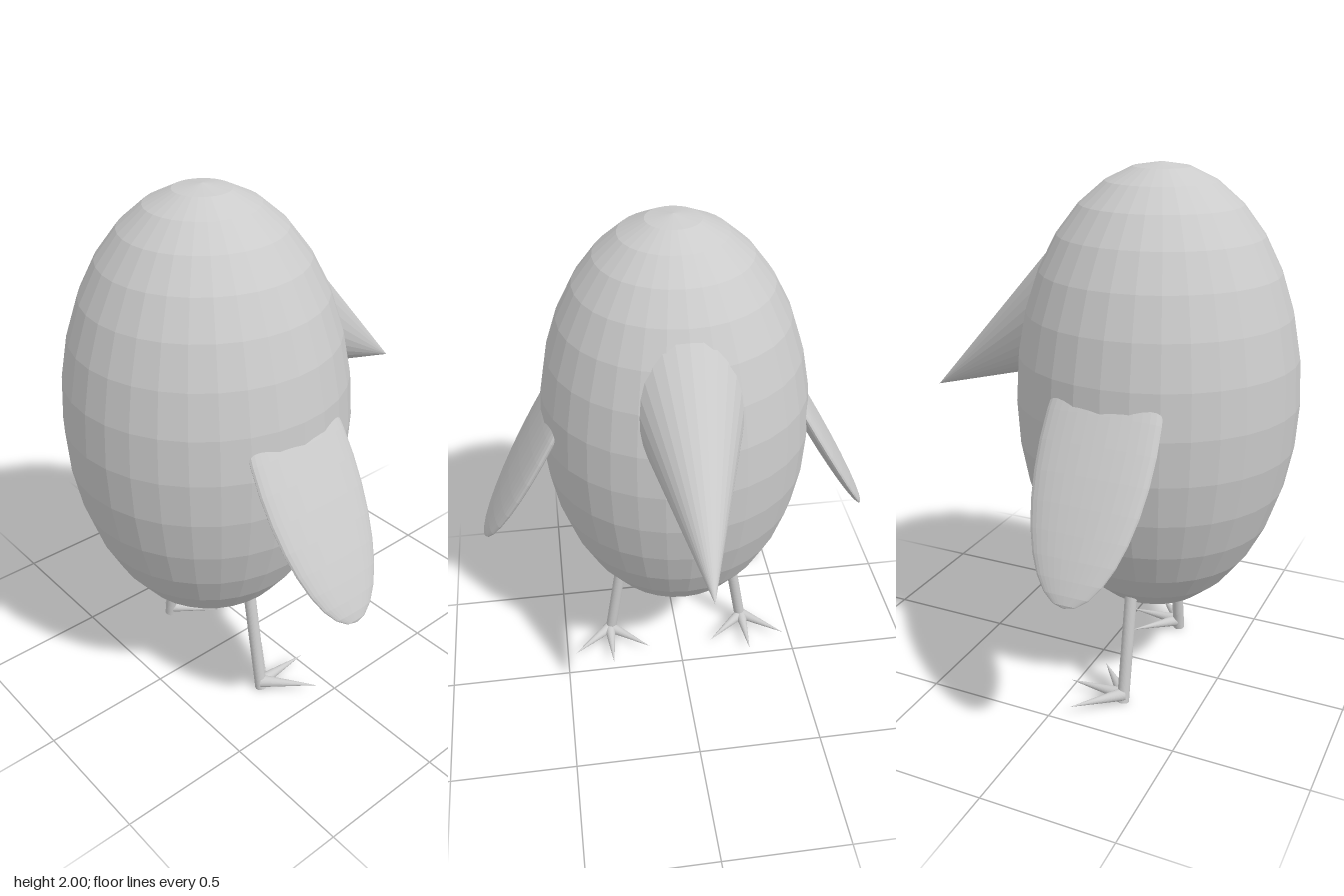
import * as THREE from 'three';

const material = new THREE.MeshStandardMaterial({ color: 0xcccccc, flatShading: true });
const UP = new THREE.Vector3(0, 1, 0);
const CENTRE_X = -0.22;

function addMesh(parent, name, geometry) {
  const mesh = new THREE.Mesh(geometry, material);
  mesh.name = name;
  parent.add(mesh);
  return mesh;
}

// Tapered rod whose base sits at `from` and whose end sits at `to`
function addRod(parent, name, from, to, baseRadius, endRadius, sides = 32) {
  const a = new THREE.Vector3(...from);
  const b = new THREE.Vector3(...to);
  const axis = b.clone().sub(a);
  const mesh = addMesh(parent, name,
    new THREE.CylinderGeometry(endRadius, baseRadius, axis.length(), sides));
  mesh.position.copy(a).add(b).multiplyScalar(0.5);
  mesh.quaternion.setFromUnitVectors(UP, axis.normalize());
  return mesh;
}

function addEllipsoid(parent, name, position, radii) {
  const mesh = addMesh(parent, name, new THREE.SphereGeometry(1, 32, 16));
  mesh.position.set(...position);
  mesh.scale.set(...radii);
  return mesh;
}

export function createModel() {
  const bird = new THREE.Group();
  bird.name = 'bird';

  addEllipsoid(bird, 'body', [CENTRE_X, 1.16, 0], [0.522, 0.84, 0.52]);

  // Beak points forward along +x and droops
  addRod(bird, 'beak', [0.03, 1.51, 0], [0.742, 1.07, 0], 0.25, 0);

  for (const side of [1, -1]) {
    const label = side > 0 ? 'A' : 'B';

    // Flat wing, angled outwards at its tip
    const wing = addEllipsoid(bird, 'wing' + label,
      [CENTRE_X, 1.13, side * 0.535], [0.212, 0.53, 0.038]);
    wing.rotation.x = -side * 0.51;

    // Leg leaning outwards from the belly
    const ankleZ = side * 0.302;
    addRod(bird, 'leg' + label,
      [CENTRE_X, 0.5, side * 0.222], [CENTRE_X, 0.004, ankleZ], 0.023, 0.023);

    // Three spread toes
    const foot = new THREE.Group();
    foot.name = 'foot' + label;
    foot.position.set(CENTRE_X, 0.035, ankleZ);
    for (const angle of [-0.84, 0, 0.84]) {
      addRod(foot, 'toe', [0, 0, 0],
        [0.222 * Math.cos(angle), 0.003, 0.222 * Math.sin(angle)], 0.025, 0);
    }
    bird.add(foot);
  }

  return bird;
}
